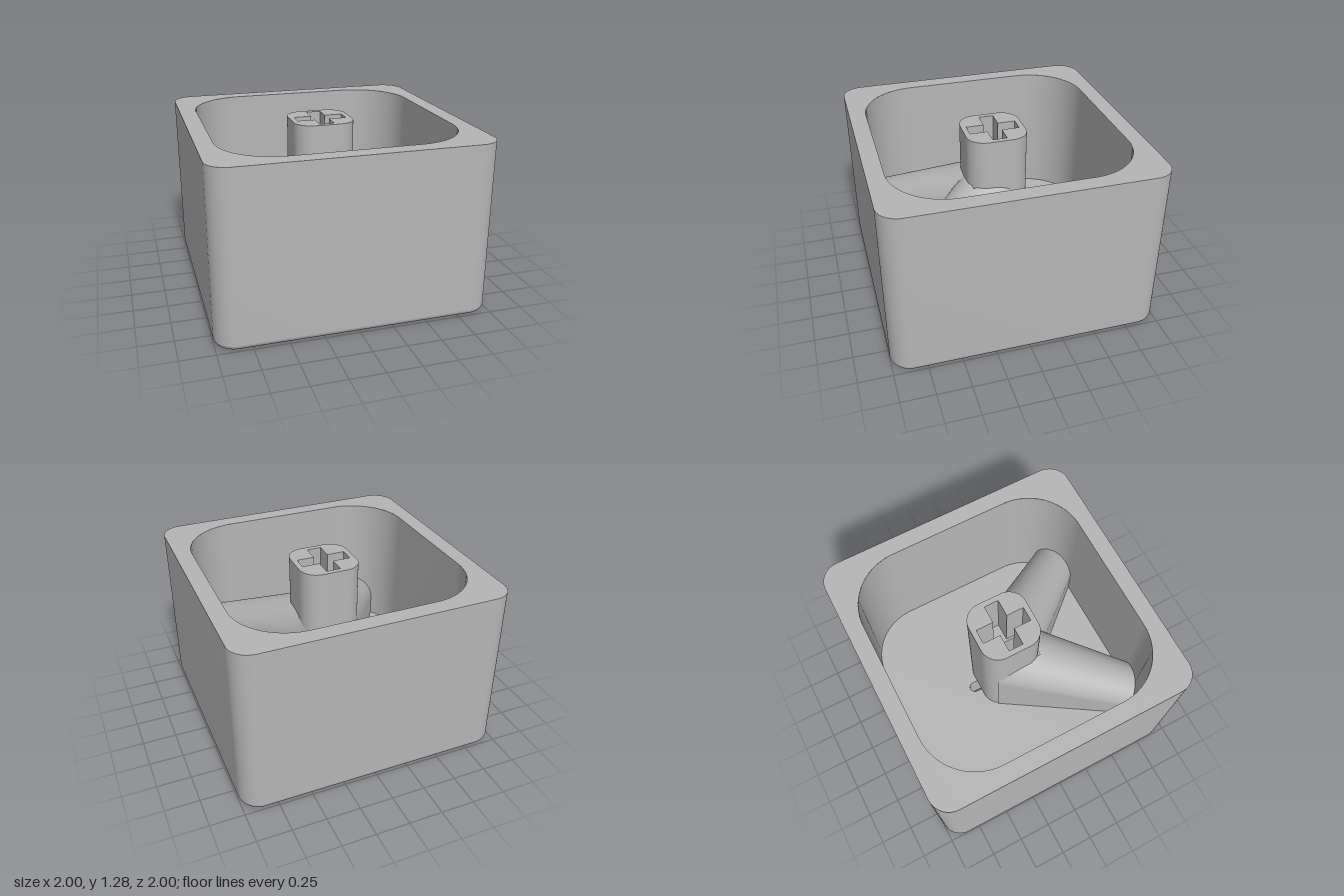
import * as THREE from 'three';
import { toCreasedNormals } from 'three/addons/utils/BufferGeometryUtils.js';

const H = 1.285, FLOOR = 0.25, FILLET = 0.045, CROSS_BOTTOM = 0.83;

// Rounded rectangle centred on the origin; curve y maps to -z once laid flat
function roundedRect(hx, hy, r, Kind = THREE.Shape) {
  const s = new Kind();
  s.moveTo(hx, -hy + r);
  s.lineTo(hx, hy - r);
  s.absarc(hx - r, hy - r, r, 0, Math.PI / 2, false);
  s.lineTo(-hx + r, hy);
  s.absarc(-hx + r, hy - r, r, Math.PI / 2, Math.PI, false);
  s.lineTo(-hx, -hy + r);
  s.absarc(-hx + r, -hy + r, r, Math.PI, Math.PI * 1.5, false);
  s.lineTo(hx - r, -hy);
  s.absarc(hx - r, -hy + r, r, Math.PI * 1.5, Math.PI * 2, false);
  return s;
}

// Outline sampled with the same number of points whatever its size
function outline(hx, hz, r, n = 16) {
  const pts = [];
  [[1, 1], [-1, 1], [-1, -1], [1, -1]].forEach(([sx, sy], c) => {
    for (let i = 0; i <= n; i++) {
      const a = (c + i / n) * Math.PI / 2;
      pts.push([sx * (hx - r) + r * Math.cos(a), -(sy * (hz - r) + r * Math.sin(a))]);
    }
  });
  return pts;
}

// Skin between loops of [x, y, z] points
function skin(rows, closed, inward) {
  const n = rows[0].length, index = [];
  for (let j = 0; j < rows.length - 1; j++) {
    for (let i = 0; i < (closed ? n : n - 1); i++) {
      const a = j * n + i, b = j * n + (i + 1) % n, c = a + n, d = b + n;
      if (inward) index.push(a, c, b, b, c, d);
      else index.push(a, b, c, b, d, c);
    }
  }
  const g = new THREE.BufferGeometry();
  g.setAttribute('position', new THREE.Float32BufferAttribute(rows.flat(2), 3));
  g.setIndex(index);
  g.computeVertexNormals();
  return g;
}

const ring = (hx, hz, r, y) => outline(hx, hz, r).map(([x, z]) => [x, y, z]);

function plate(shape, y, up) {
  return new THREE.ShapeGeometry(shape, 16).rotateX(up ? -Math.PI / 2 : Math.PI / 2).translate(0, y, 0);
}

function prism(shape, y0, y1) {
  const g = new THREE.ExtrudeGeometry(shape, { depth: y1 - y0, bevelEnabled: false, curveSegments: 12 });
  return toCreasedNormals(g.rotateX(-Math.PI / 2).translate(0, y0, 0), 0.5);
}

// Rib: tapering half-round bar sloping from the stem down to a front corner
function ribGeometry(side) {
  const dir = [0.6, 0.8], lanes = 28, steps = 8, end = 1.08;
  const at = (s, t) => {
    const r = 0.262 - 0.08 * s, a = Math.PI * t;
    const o = -0.01 - r * Math.cos(a);
    return [dir[0] * s - 0.8 * o, 0.76 - 0.33 * s + r * Math.sin(a), dir[1] * s + 0.6 * o];
  };
  const rows = [];
  for (let i = -1; i <= lanes + 1; i++) {
    const t = Math.min(Math.max(i / lanes, 0), 1);
    // start just inside the stem wall, or on the centre plane
    let s0 = 0;
    for (; s0 < 0.6; s0 += 0.002) {
      const [x, , z] = at(s0, t);
      if (x >= 0 && (x >= 0.2 || z >= 0.205)) break;
    }
    const row = [];
    for (let k = 0; k <= steps; k++) {
      const p = at(s0 + (end - s0) * k / steps, t);
      if (i < 0 || i > lanes) p[1] = FLOOR;
      row.push([p[0] * side, p[1], p[2]]);
    }
    rows.push(row);
  }
  return skin(rows, false, side > 0);
}

export function createModel() {
  const grey = new THREE.MeshStandardMaterial({ color: 0xb5b5b5 });
  grey.name = 'plainGrey';
  const greyOpen = grey.clone();
  greyOpen.name = 'plainGrey';
  greyOpen.side = THREE.DoubleSide;
  const model = new THREE.Group();
  model.name = 'cap';
  const add = (name, geometry, material = grey) => {
    const m = new THREE.Mesh(geometry, material);
    m.name = name;
    model.add(m);
  };
  const slot = () => roundedRect(0.04, 0.31, 0.0399, THREE.Path);

  // Outer shell with a small fillet round the base
  const outer = [];
  for (let i = 0; i <= 6; i++) {
    const a = i / 6 * Math.PI / 2, inset = FILLET * (1 - Math.sin(a));
    outer.push(ring(1 - inset, 1 - inset, 0.155 - inset, FILLET * (1 - Math.cos(a))));
  }
  outer.push(ring(1, 1, 0.155, H));
  add('outerWall', skin(outer, true, false));

  // Underside with its narrow slot
  const under = roundedRect(1 - FILLET, 1 - FILLET, 0.155 - FILLET);
  under.holes.push(slot());
  add('underside', plate(under, 0, false));
  add('slotWall', skin([ring(0.04, 0.31, 0.0399, 0), ring(0.04, 0.31, 0.0399, FLOOR)], true, true));

  // Rim, cavity wall and cavity floor
  const rim = roundedRect(1, 1, 0.155);
  rim.holes.push(roundedRect(0.875, 0.875, 0.42, THREE.Path));
  add('rim', plate(rim, H, true));
  add('cavityWall', skin([ring(0.875, 0.875, 0.42, FLOOR), ring(0.875, 0.875, 0.42, H)], true, true));
  const floor = roundedRect(0.875, 0.875, 0.42);
  floor.holes.push(slot());
  add('cavityFloor', plate(floor, FLOOR, true));

  // Stem: cross socket above, slot continuing below
  const socket = roundedRect(0.228, 0.228, 0.135);
  const a = 0.055, b = 0.188;
  socket.holes.push(new THREE.Path([
    [a, a], [a, b], [-a, b], [-a, a], [-b, a], [-b, -a],
    [-a, -a], [-a, -b], [a, -b], [a, -a], [b, -a], [b, a],
  ].map(([x, y]) => new THREE.Vector2(x, y))));
  add('stemSocket', prism(socket, CROSS_BOTTOM, H));
  const base = roundedRect(0.228, 0.228, 0.135);
  base.holes.push(roundedRect(0.04, 0.188, 0.005, THREE.Path));
  add('stemBase', prism(base, FLOOR, CROSS_BOTTOM));

  // Pair of sloping ribs
  add('leftRib', ribGeometry(1), greyOpen);
  add('rightRib', ribGeometry(-1), greyOpen);
  return model;
}
